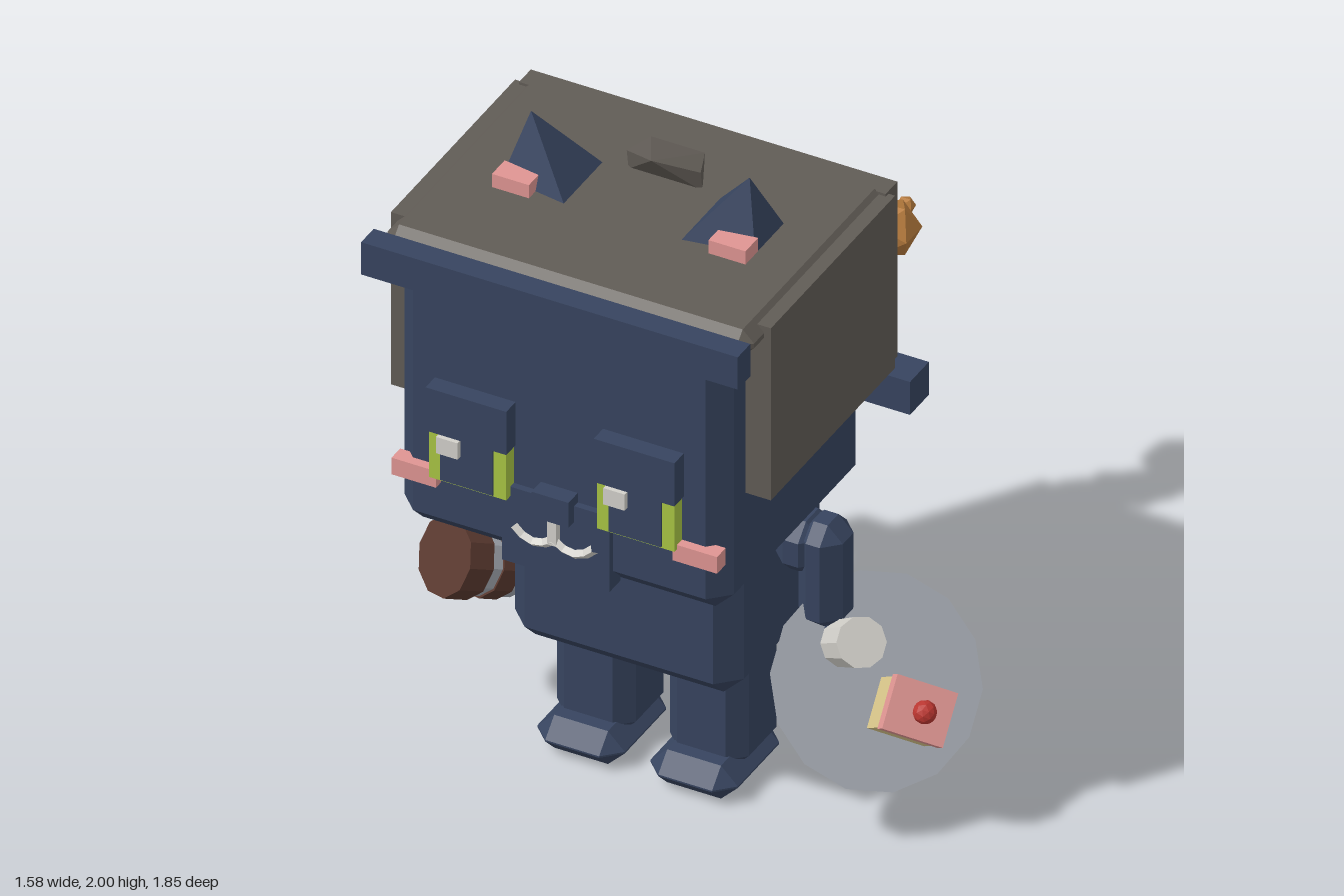
import * as THREE from 'three';
import { ConvexGeometry } from 'three/addons/geometries/ConvexGeometry.js';

const mat = (name, color) => {
  const m = new THREE.MeshStandardMaterial({ color, flatShading: true });
  m.name = name;
  return m;
};

export function createModel() {
  const navy = mat('navy fur', 0x37445f), hair = mat('grey brown hood', 0x615c56);
  const green = mat('eye green', 0xa8c444), pink = mat('pink', 0xdf9592);
  const white = mat('off white', 0xd2d0ca), grey = mat('plate grey', 0xa3a8b0);
  const cream = mat('cake yellow', 0xd8c68a), red = mat('cherry red', 0xba3630);
  const brown = mat('dark brown', 0x5a392f), gold = mat('bell gold', 0xb87c3e);

  const root = new THREE.Group();
  root.name = 'catFigure';
  const figure = new THREE.Group(); // the body is symmetric about this group's x = 0
  figure.name = 'cat';
  figure.position.x = -0.087;
  root.add(figure);

  const V = (x, y, z) => new THREE.Vector3(x, y, z);
  const add = (name, geo, material, parent = figure) => {
    const m = new THREE.Mesh(geo, material);
    m.name = name;
    parent.add(m);
    return m;
  };
  // box from extents
  const box = (name, m, x0, x1, y0, y1, z0, z1, parent) => {
    const b = add(name, new THREE.BoxGeometry(x1 - x0, y1 - y0, z1 - z0), m, parent);
    b.position.set((x0 + x1) / 2, (y0 + y1) / 2, (z0 + z1) / 2);
    return b;
  };
  // box with chamfered edges, from extents
  const chamfer = (name, m, x0, x1, y0, y1, z0, z1, b, parent) => {
    const h = [(x1 - x0) / 2, (y1 - y0) / 2, (z1 - z0) / 2], pts = [];
    for (const sx of [-1, 1]) for (const sy of [-1, 1]) for (const sz of [-1, 1])
      for (let k = 0; k < 3; k++) {
        const e = h.map((v, i) => (i === k ? v : v - b));
        pts.push(V(sx * e[0], sy * e[1], sz * e[2]));
      }
    const c = add(name, new ConvexGeometry(pts), m, parent);
    c.position.set((x0 + x1) / 2, (y0 + y1) / 2, (z0 + z1) / 2);
    return c;
  };
  // six-sided limb segment between two points, pinched at its ends
  const segment = (name, m, a, b, r0, r1, pinch = 0.03, tip = 0.75) => {
    const d = b.clone().sub(a), L = d.length();
    const profile = [[0, 0], [r0 * 0.75, 0], [r0, 0.03], [r1, L - pinch], [r1 * tip, L], [0, L]]
      .map(p => new THREE.Vector2(...p));
    const s = add(name, new THREE.LatheGeometry(profile, 6).toNonIndexed(), m);
    s.geometry.computeVertexNormals();
    s.position.copy(a);
    s.quaternion.setFromUnitVectors(V(0, 1, 0), d.normalize());
    return s;
  };

  // Head, body
  chamfer('head', navy, -0.49, 0.49, 0.91, 1.75, 0.075, 0.86, 0.055);
  chamfer('body', navy, -0.34, 0.34, 0.38, 1.09, -0.01, 0.53, 0.06);

  // Hood
  chamfer('hoodTop', hair, -0.545, 0.545, 1.73, 1.813, 0.03, 0.83, 0.034);
  box('hoodBack', hair, -0.545, 0.545, 1.25, 1.808, 0, 0.065);
  for (const s of [-1, 1]) {
    const x = s * 0.523;
    box('hoodSide', hair, x - 0.042, x + 0.042, 1.25, 1.8, 0.05, 0.74);
  }
  box('frontBand', navy, -0.56, 0.56, 1.71, 1.813, 0.845, 0.915);
  box('backBand', navy, -0.62, 0.62, 1.13, 1.235, -0.035, 0.07);

  // Tuft on the crown
  const tuft = [V(0, 1.91, 0.35), V(0, 1.8, 0.24)];
  for (const s of [-1, 1])
    tuft.push(V(s * 0.11, 1.865, 0.28), V(s * 0.08, 1.87, 0.2), V(s * 0.11, 1.8, 0.27), V(s * 0.06, 1.8, 0.19));
  add('tuft', new ConvexGeometry(tuft), hair);

  for (const s of [-1, 1]) {
    // Ears
    add('ear', new ConvexGeometry([
      V(s * 0.325, 2, 0.41), V(s * 0.165, 1.8, 0.285), V(s * 0.165, 1.8, 0.515),
      V(s * 0.38, 1.8, 0.31), V(s * 0.38, 1.8, 0.48)]), navy);
    box('innerEar', pink, s * 0.322 - 0.055, s * 0.322 + 0.055, 1.8, 1.855, 0.46, 0.53);

    // Eyes and cheeks
    const e = s * 0.25;
    box('eyelid', navy, e - 0.12, e + 0.12, 1.272, 1.41, 0.8, 0.912);
    box('eye', green, e - 0.115, e + 0.115, 1.12, 1.272, 0.8, 0.903);
    box('pupil', navy, e - 0.078, e + 0.078, 1.126, 1.272, 0.9, 0.909);
    const g = s < 0 ? -0.3 : 0.197;
    box('eyeGlint', white, g - 0.032, g + 0.032, 1.22, 1.272, 0.88, 0.925);
    box('cheek', pink, s * 0.418 - 0.066, s * 0.418 + 0.066, 1.08, 1.133, 0.84, 0.888);

    // Mouth half
    const curve = new THREE.QuadraticBezierCurve3(V(0, 1.03, 0.89), V(s * 0.065, 0.975, 0.89), V(s * 0.12, 1.04, 0.89));
    add('mouthCurve', new THREE.TubeGeometry(curve, 4, 0.014, 4), white);

    // Legs and feet
    chamfer('leg', navy, s * 0.117 - 0.117, s * 0.117 + 0.117, 0.05, 0.45, 0.14, 0.385, 0.045).position.x = s * 0.168;
    chamfer('foot', navy, s * 0.168 - 0.13, s * 0.168 + 0.13, 0, 0.105, 0.145, 0.475, 0.05);

    // Arms
    const u = s * 0.408, f = s * 0.472;
    chamfer('shoulder', navy, u - 0.068, u + 0.068, 0.7, 0.865, 0.18, 0.34, 0.045);
    chamfer('arm', navy, f - 0.066, f + 0.066, 0.54, 0.87, 0.185, 0.335, 0.045);
    chamfer('hand', navy, f - 0.06, f + 0.06, 0.45, 0.58, 0.19, 0.335, 0.04);
  }
  box('muzzle', navy, -0.16, 0.16, 0.91, 1.15, 0.82, 0.88);
  box('nose', navy, -0.055, 0.055, 1.1, 1.18, 0.84, 0.912);
  box('mouthStem', white, -0.013, 0.013, 1.02, 1.1, 0.87, 0.903);

  // Tail
  const tail = [[0, 0.48, 0.02], [0, 0.45, -0.23], [-0.005, 0.51, -0.43], [0.015, 0.66, -0.61],
    [0.05, 0.86, -0.69], [0.085, 1.0, -0.665], [0.095, 1.145, -0.645]].map(p => V(...p));
  const radii = [0.105, 0.1, 0.096, 0.09, 0.084, 0.076, 0.072];
  for (let i = 0; i < 5; i++) segment('tailSegment', navy, tail[i], tail[i + 1], radii[i], radii[i + 1]);
  segment('tailTip', navy, tail[5], tail[6], 0.076, 0.07, 0.07, 0.1);

  // Tail ring and bell
  const ring = add('tailRing', new THREE.CylinderGeometry(0.083, 0.083, 0.04, 8), gold);
  ring.position.set(0.083, 0.975, -0.665);
  ring.rotation.x = -0.15;
  add('bell', new THREE.IcosahedronGeometry(0.085), gold).position.set(0.087, 1.01, -0.815);
  add('bellKnob', new THREE.IcosahedronGeometry(0.027), gold).position.set(0.087, 1.027, -0.903);

  // Tilted plate with cup and cake
  const tray = new THREE.Group();
  tray.name = 'servingPlate';
  tray.position.set(0.54, 0.41, 0.28);
  tray.quaternion.setFromRotationMatrix(new THREE.Matrix4().makeBasis(
    V(0.765, -0.41, -0.5).normalize(), V(0.64, 0.55, 0.53).normalize(), V(0.058, -0.725, 0.683).normalize()));
  root.add(tray);
  add('plate', new THREE.CylinderGeometry(0.295, 0.28, 0.03, 14), grey, tray);
  add('cup', new THREE.CylinderGeometry(0.07, 0.065, 0.15, 10), white, tray).position.set(-0.115, 0.088, -0.07);
  box('cake', cream, 0.01, 0.175, 0.012, 0.12, -0.015, 0.125, tray);
  box('icing', pink, 0.005, 0.18, 0.12, 0.16, -0.02, 0.13, tray);
  add('cherry', new THREE.IcosahedronGeometry(0.033, 1), red, tray).position.set(0.098, 0.185, 0.057);

  // Banded barrel with a round end piece, held in the other hand
  const barrel = new THREE.Group();
  barrel.name = 'barrel';
  barrel.position.set(-0.595, 0.49, 0.375);
  barrel.quaternion.setFromUnitVectors(V(0, 1, 0), V(-0.45, 0.4, 0.8).normalize());
  root.add(barrel);
  const bands = [[-0.12, -0.075, 0.098, grey], [-0.075, -0.015, 0.106, brown],
    [-0.015, 0.025, 0.1, grey], [0.025, 0.105, 0.112, brown]];
  for (const [y0, y1, r, m] of bands)
    add(m === brown ? 'barrelWood' : 'barrelBand', new THREE.CylinderGeometry(r, r, y1 - y0, 10), m, barrel)
      .position.y = (y0 + y1) / 2;
  const link = segment('barrelGrip', grey, V(-0.51, 0.49, 0.375), V(-0.643, 0.58, 0.26), 0.04, 0.04);
  link.name = 'barrelGrip';
  add('gripBall', new THREE.IcosahedronGeometry(0.07, 1), grey, root).position.set(-0.725, 0.58, 0.26);

  return root;
}
